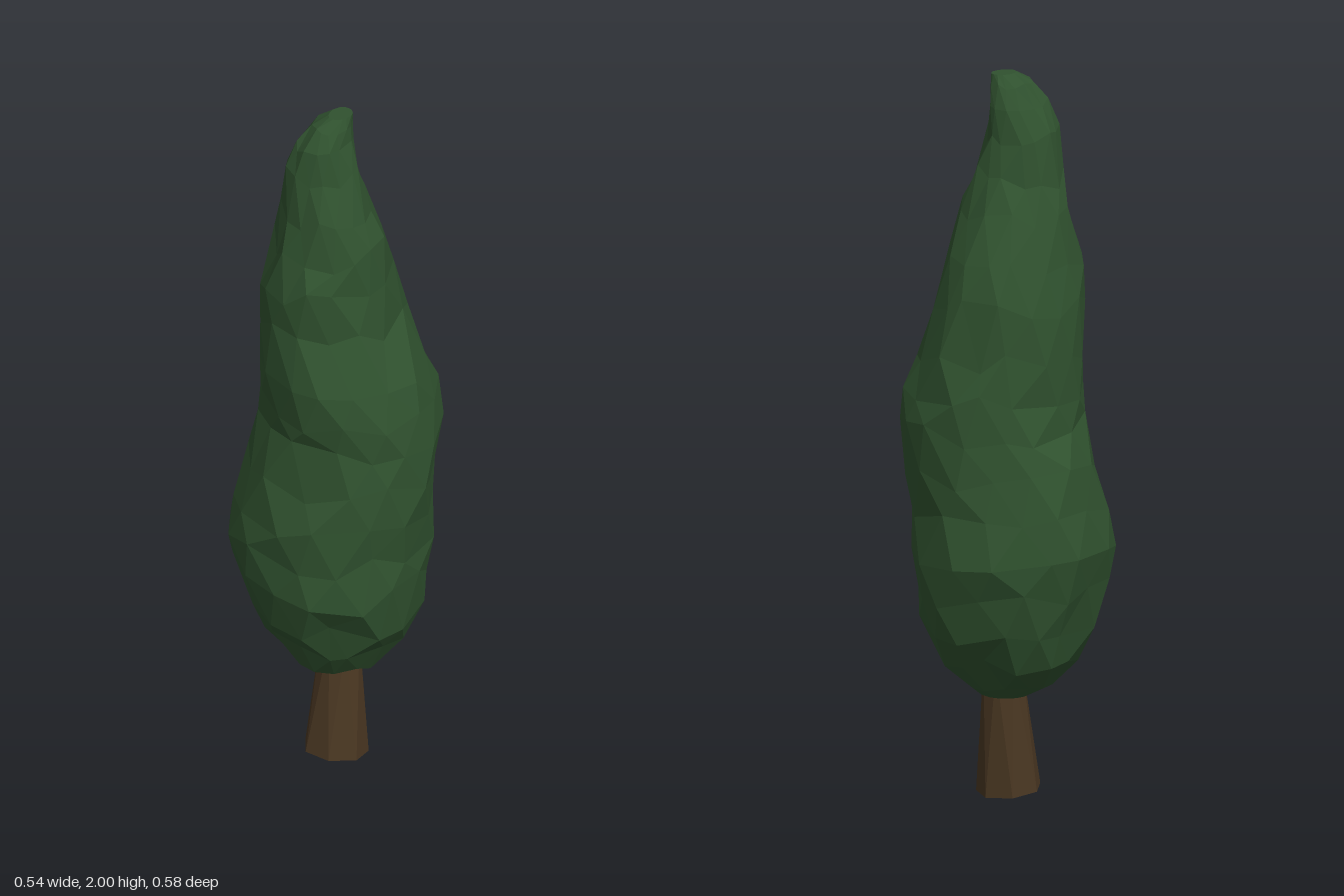
import * as THREE from 'three';

const leafGreen = new THREE.MeshStandardMaterial({ color: 0x30522f, flatShading: true });
leafGreen.name = 'leaf green';
const barkBrown = new THREE.MeshStandardMaterial({ color: 0x4a3722, flatShading: true });
barkBrown.name = 'bark brown';

// Small seeded generator, returns -1..1
function makeRandom(seed) {
  return () => {
    seed = (seed * 16807) % 2147483647;
    return (seed / 2147483647) * 2 - 1;
  };
}

// Skin a stack of oval sections [y, xMin, xMax, zMin, zMax], closed at both ends
function loft(sections, sides, jitter, slope) {
  const random = makeRandom(4711);
  const positions = [];
  const indices = [];
  const last = sections.length - 1;
  sections.forEach(([y, x0, x1, z0, z1], r) => {
    const gap = Math.min(
      r > 0 ? y - sections[r - 1][0] : 0,
      r < last ? sections[r + 1][0] - y : 0
    );
    for (let i = 0; i < sides; i++) {
      const angle = ((i + (r % 2) * 0.5 + random() * 0.25 * jitter) / sides) * Math.PI * 2;
      const swell = 1.01 + random() * 0.04 * jitter;
      const x = (x0 + x1) / 2 + Math.cos(angle) * swell * (x1 - x0) / 2;
      const z = (z0 + z1) / 2 + Math.sin(angle) * swell * (z1 - z0) / 2;
      const lift = random() * 0.3 * gap * jitter + (r === 0 ? slope * (x1 - x) : 0);
      positions.push(x, y + lift, z);
    }
  });
  // Side facets between staggered rings
  for (let r = 0; r < last; r++) {
    for (let i = 0; i < sides; i++) {
      const j = (i + 1) % sides;
      const a = r * sides + i, b = r * sides + j;
      const c = a + sides, d = b + sides;
      if (r % 2) indices.push(a, c, d, a, d, b);
      else indices.push(a, c, b, b, c, d);
    }
  }
  // End caps
  [0, last].forEach((r) => {
    const [y, x0, x1, z0, z1] = sections[r];
    const centre = positions.length / 3;
    const lift = r === 0 ? slope * (x1 - x0) / 2 : 0;
    positions.push((x0 + x1) / 2, y + lift, (z0 + z1) / 2);
    for (let i = 0; i < sides; i++) {
      const a = r * sides + i, b = r * sides + ((i + 1) % sides);
      if (r === 0) indices.push(centre, a, b);
      else indices.push(centre, b, a);
    }
  });
  const geometry = new THREE.BufferGeometry();
  geometry.setAttribute('position', new THREE.Float32BufferAttribute(positions, 3));
  geometry.setIndex(indices);
  const faceted = geometry.toNonIndexed();
  faceted.computeVertexNormals();
  return faceted;
}

export function createModel() {
  const tree = new THREE.Group();
  tree.name = 'cypressTree';

  // Lumpy, slightly leaning crown
  const crown = [
    [0.28, -0.06, 0.06, -0.05, 0.08],
    [0.31, -0.13, 0.10, -0.11, 0.14],
    [0.39, -0.18, 0.17, -0.19, 0.20],
    [0.48, -0.23, 0.23, -0.23, 0.24],
    [0.59, -0.27, 0.25, -0.26, 0.26],
    [0.70, -0.27, 0.27, -0.29, 0.27],
    [0.81, -0.26, 0.26, -0.27, 0.27],
    [0.92, -0.24, 0.255, -0.24, 0.28],
    [1.04, -0.21, 0.26, -0.215, 0.295],
    [1.14, -0.22, 0.255, -0.20, 0.28],
    [1.24, -0.235, 0.23, -0.20, 0.25],
    [1.38, -0.215, 0.21, -0.195, 0.18],
    [1.50, -0.215, 0.17, -0.17, 0.16],
    [1.61, -0.185, 0.12, -0.14, 0.155],
    [1.72, -0.165, 0.07, -0.12, 0.13],
    [1.83, -0.145, 0.05, -0.105, 0.09],
    [1.92, -0.13, 0.045, -0.07, 0.07],
    [1.97, -0.09, 0.035, -0.035, 0.065],
    [2.00, -0.05, 0.025, 0.00, 0.06],
  ];
  const foliage = new THREE.Mesh(loft(crown, 14, 1, 0), leafGreen);
  foliage.name = 'foliage';
  tree.add(foliage);

  // Tapered trunk with a slanted foot
  const stem = [
    [0.00, -0.11, 0.065, -0.07, 0.11],
    [0.36, -0.05, 0.055, -0.035, 0.075],
  ];
  const trunk = new THREE.Mesh(loft(stem, 7, 0, 0.13), barkBrown);
  trunk.name = 'trunk';
  tree.add(trunk);

  return tree;
}
